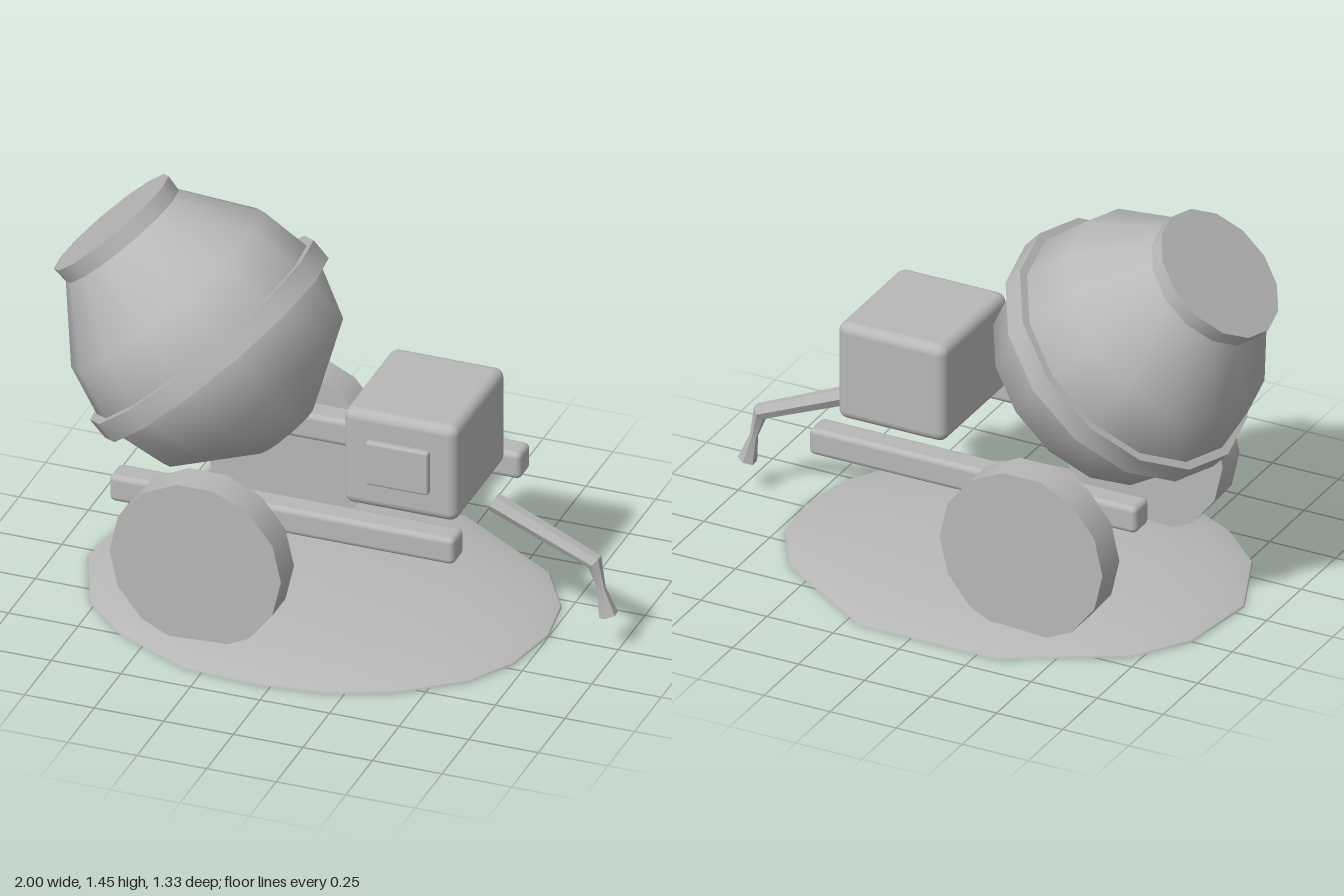
import * as THREE from 'three';
import { toCreasedNormals } from 'three/addons/utils/BufferGeometryUtils.js';
import { RoundedBoxGeometry } from 'three/addons/geometries/RoundedBoxGeometry.js';

const SIDES = 14;

// Joins closed rings of points into a skin, with a fan cap at both ends.
function loft(rings, crease) {
  const n = rings[0].length;
  const pos = [];
  const idx = [];
  rings.forEach((ring) => ring.forEach((p) => pos.push(p.x, p.y, p.z)));
  for (let r = 0; r < rings.length - 1; r++) {
    for (let i = 0; i < n; i++) {
      const a = r * n + i;
      const b = r * n + (i + 1) % n;
      idx.push(a, b, b + n, a, b + n, a + n);
    }
  }
  const cap = (start, flip) => {
    for (let i = 1; i < n - 1; i++) {
      if (flip) idx.push(start, start + i + 1, start + i);
      else idx.push(start, start + i, start + i + 1);
    }
  };
  cap(0, true);
  cap((rings.length - 1) * n, false);
  const g = new THREE.BufferGeometry();
  g.setAttribute('position', new THREE.Float32BufferAttribute(pos, 3));
  g.setIndex(idx);
  return toCreasedNormals(g, crease);
}

export function createModel() {
  const model = new THREE.Group();
  model.name = 'cementMixer';
  const grey = new THREE.MeshStandardMaterial({ color: 0xb8b8b8 });
  grey.name = 'grey';

  const add = (name, geometry, x = 0, y = 0, z = 0, parent = model) => {
    const mesh = new THREE.Mesh(geometry, grey);
    mesh.name = name;
    mesh.position.set(x, y, z);
    parent.add(mesh);
    return mesh;
  };
  const lathe = (points) => new THREE.LatheGeometry(
    points.map(([r, y]) => new THREE.Vector2(r, y)), SIDES, Math.PI / 2);

  // Tilted drum with its band and closed mouth
  const drum = new THREE.Group();
  drum.name = 'drum';
  drum.position.set(-0.47, 0.9, 0);
  drum.rotation.z = THREE.MathUtils.degToRad(43);
  model.add(drum);
  add('drumShell', lathe([[0, -0.405], [0.12, -0.405], [0.393, -0.23],
    [0.465, 0], [0.42, 0.22], [0.245, 0.46]]), 0, 0, 0, drum);
  add('drumBand', toCreasedNormals(lathe([[0.44, -0.04], [0.487, -0.04],
    [0.487, 0.04], [0.44, 0.04]]), 0.6), 0, 0, 0, drum);
  add('drumMouth', new THREE.CylinderGeometry(0.25, 0.245, 0.08, SIDES, 1, false, Math.PI / 2),
    0, 0.477, 0, drum);

  // Wheels and frame rails on both sides
  for (const [side, s] of [['left', 1], ['right', -1]]) {
    const wheel = new THREE.CylinderGeometry(0.308, 0.308, 0.123, SIDES, 1, false, Math.PI / 2);
    wheel.rotateX(Math.PI / 2);
    add(side + 'Wheel', wheel, -0.33, 0.315, s * 0.436);
    add(side + 'Rail', new RoundedBoxGeometry(1.24, 0.1, 0.1, 2, 0.02), -0.073, 0.47, s * 0.312);
  }

  // Engine housing and its front panel
  add('engine', new RoundedBoxGeometry(0.41, 0.365, 0.47, 3, 0.035), 0.303, 0.688, 0);
  add('enginePanel', new RoundedBoxGeometry(0.225, 0.165, 0.04, 2, 0.01), 0.3, 0.688, 0.235);

  // Drawbar: hexagonal sections along a bent path, pinched before the foot
  const sections = [
    [0.552, 0.48, 0.034, -0.41], [0.915, 0.322, 0.03, -0.75],
    [0.94, 0.225, 0.014, -1.3], [0.965, 0.128, 0.034, -1.25],
  ];
  add('drawbar', loft(sections.map(([x, y, r, tilt]) => {
    const ring = [];
    for (let i = 0; i < 6; i++) {
      const a = i * Math.PI / 3;
      const u = Math.sin(a) * r;
      ring.push(new THREE.Vector3(x - u * Math.sin(tilt), y + u * Math.cos(tilt), Math.cos(a) * r));
    }
    return ring.reverse();
  }), 0.5));

  // Low mound of spilled material, shrinking rings of an uneven outline
  const outline = [
    [0.75, 0], [0.71, 0.22], [0.61, 0.39], [0.4, 0.55], [0.2, 0.63], [-0.06, 0.66],
    [-0.32, 0.64], [-0.6, 0.5], [-0.77, 0.34], [-0.89, 0.05], [-0.85, -0.25],
    [-0.72, -0.44], [-0.32, -0.665], [0.2, -0.66], [0.6, -0.4], [0.72, -0.2],
  ].reverse();
  const levels = [[1, 0], [0.995, 0.006], [0.9, 0.026], [0.6, 0.052], [0.3, 0.064], [0.02, 0.07]];
  add('mound', loft(levels.map(([s, y]) => outline.map(([x, z]) =>
    new THREE.Vector3(-0.07 + (x + 0.07) * s, y, z * s))), 0.6));

  return model;
}
